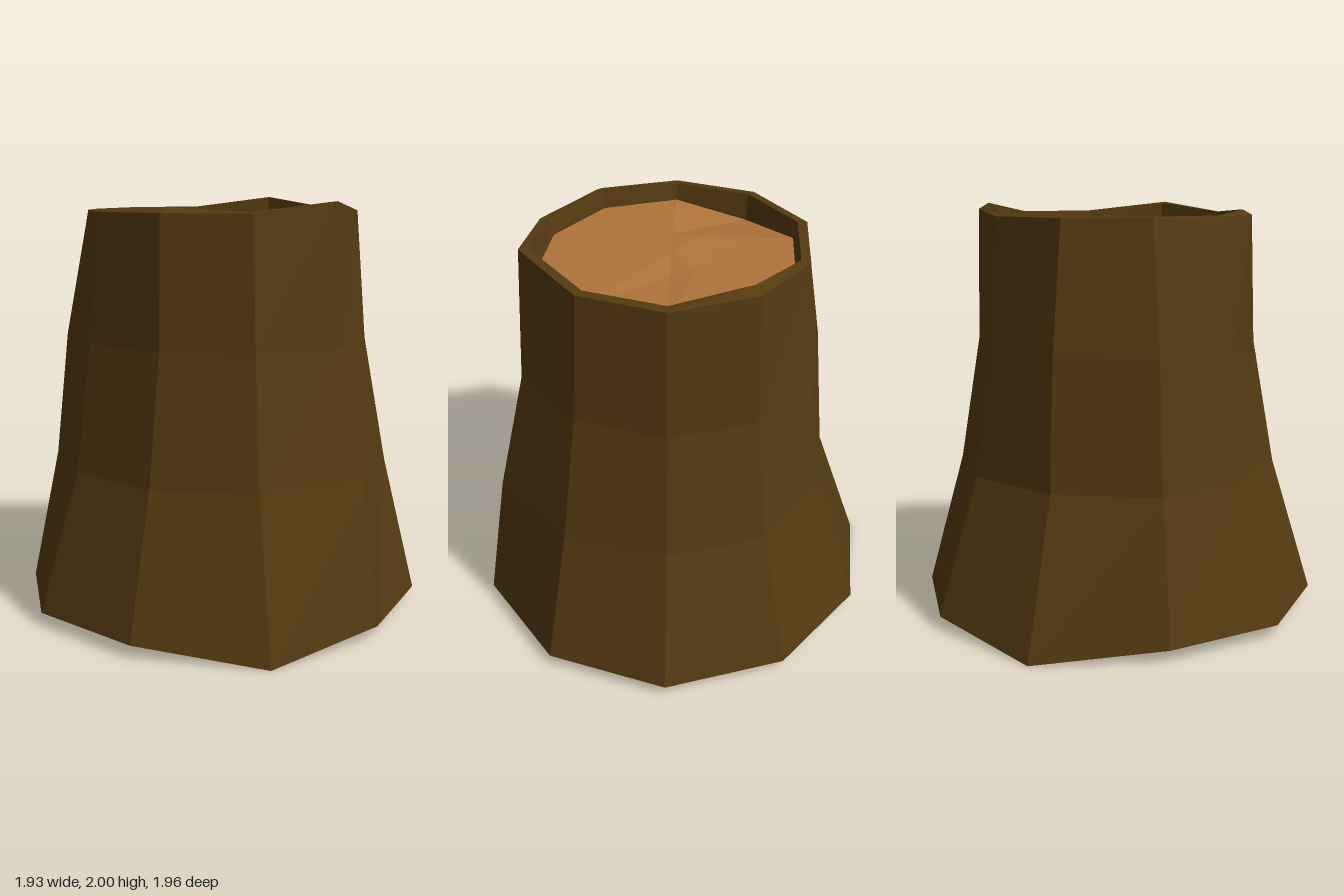
import * as THREE from 'three';

// Ten columns around the trunk, clockwise from the back:
// base x, z | rim x, z | blend towards the rim for the two middle rings
const COLUMNS = [
  [0.035, -0.98, 0.035, -0.69, 0.62, 0.96],
  [0.61, -0.80, 0.42, -0.55, 0.64, 0.88],
  [0.965, -0.31, 0.665, -0.21, 0.50, 0.85],
  [0.965, 0.30, 0.705, 0.21, 0.37, 0.88],
  [0.655, 0.85, 0.425, 0.525, 0.61, 0.83],
  [0.035, 0.98, 0.035, 0.655, 0.61, 0.94],
  [-0.545, 0.79, -0.355, 0.525, 0.62, 0.85],
  [-0.89, 0.30, -0.59, 0.20, 0.43, 0.63],
  [-0.965, -0.33, -0.595, -0.21, 0.65, 0.75],
  [-0.545, -0.81, -0.35, -0.54, 0.62, 0.88],
];
const CENTRE_X = 0.035;

// One ring of points; special holds heights for single columns
function ring(blend, y, special = {}, shrink = 1) {
  return COLUMNS.map((c, i) => {
    const t = blend(c);
    const x = THREE.MathUtils.lerp(c[0], c[2], t);
    const z = THREE.MathUtils.lerp(c[1], c[3], t);
    return [CENTRE_X + (x - CENTRE_X) * shrink, special[i] ?? y, z * shrink];
  });
}

// Faces joining each ring to the next
function skin(rings) {
  const out = [];
  for (let r = 0; r < rings.length - 1; r++) {
    const a = rings[r], b = rings[r + 1];
    a.forEach((p, i) => {
      const j = (i + 1) % a.length;
      out.push(a[j], p, b[i], a[j], b[i], b[j]);
    });
  }
  return out;
}

// Fan from a ring to a middle point
function fan(points, y, up) {
  const middle = [CENTRE_X, y, 0];
  return points.flatMap((p, i) => {
    const q = points[(i + 1) % points.length];
    return up ? [q, p, middle] : [p, q, middle];
  });
}

function build(name, triangles, material) {
  const geometry = new THREE.BufferGeometry();
  geometry.setAttribute('position', new THREE.Float32BufferAttribute(triangles.flat(), 3));
  geometry.computeVertexNormals();
  const mesh = new THREE.Mesh(geometry, material);
  mesh.name = name;
  return mesh;
}

export function createModel() {
  const bark = new THREE.MeshStandardMaterial({ color: 0x543a11, flatShading: true });
  bark.name = 'bark brown';
  const wood = new THREE.MeshStandardMaterial({ color: 0xb0743a, flatShading: true });
  wood.name = 'cut wood';

  const atRim = () => 1;
  const base = ring(() => 0, 0.06, { 4: 0, 8: 0 });
  const lower = ring((c) => c[4], 0.72);
  const upper = ring((c) => c[5], 1.33);
  const rim = ring(atRim, 1.945, { 0: 1.97, 3: 1.995 });
  const innerRim = ring(atRim, 1.95, { 0: 2, 3: 1.99, 5: 1.97 }, 0.93);
  const woodEdge = ring(atRim, 1.87, { 7: 1.82 }, 0.9);
  const woodMiddle = ring(atRim, 1.875, { 1: 1.86, 7: 1.885, 9: 1.86 }, 0.3);

  const group = new THREE.Group();
  group.name = 'treeStump';
  group.add(
    // Flared trunk, rim and the short wall inside it
    build('barkShell', skin([base, lower, upper, rim, innerRim, woodEdge]), bark),
    build('underside', fan(base, 0.05, false), bark),
    // Slightly uneven sawn face sunk below the rim
    build('cutFace', [...skin([woodEdge, woodMiddle]), ...fan(woodMiddle, 1.875, true)], wood),
  );
  return group;
}
